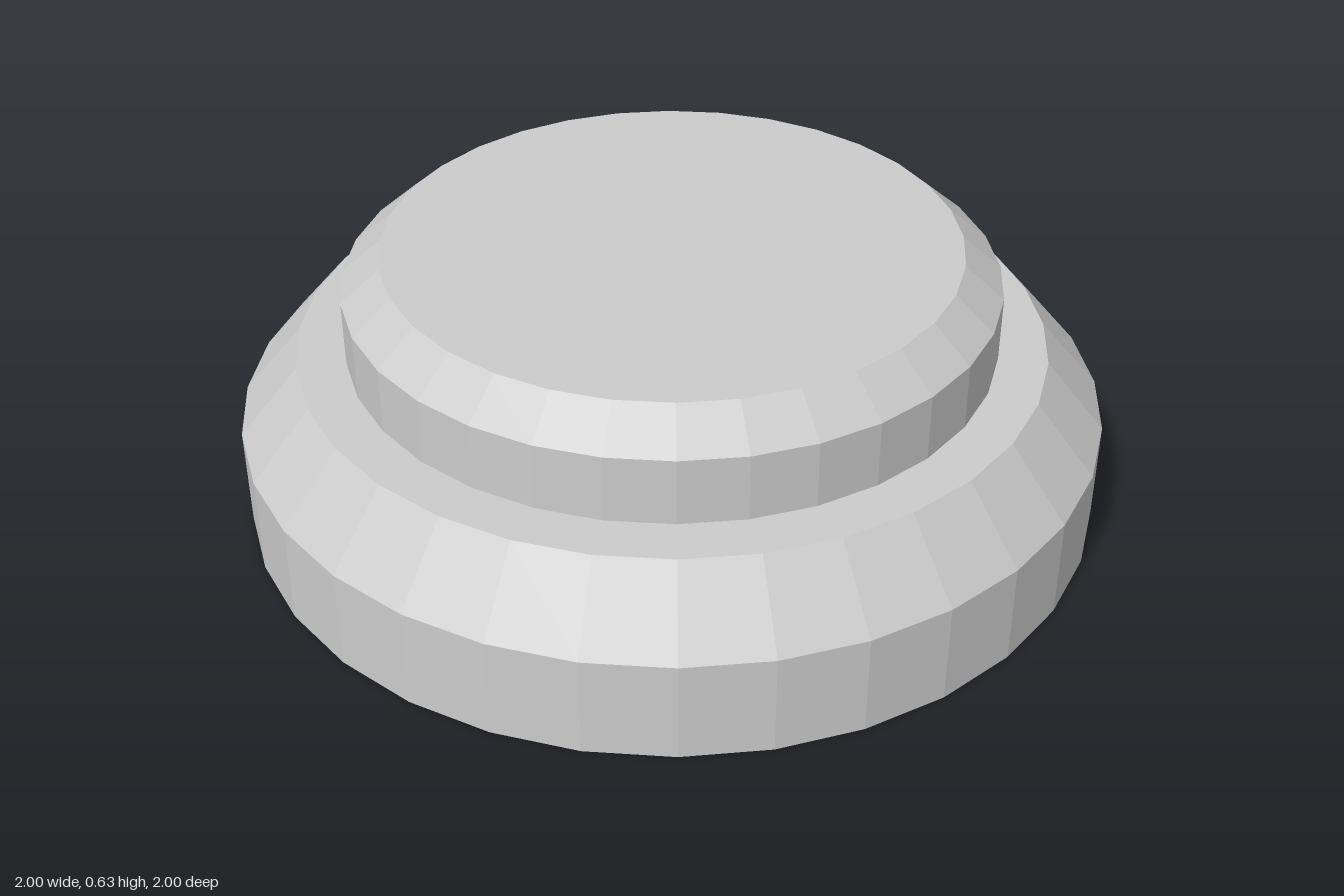
import * as THREE from 'three';

const SIDES = 32;

// Faceted ring-shaped tier turned from a [radius, height] profile, listed bottom to top
function makeTier(name, profile, material) {
  const points = profile.map(([r, y]) => new THREE.Vector2(r, y));
  const mesh = new THREE.Mesh(new THREE.LatheGeometry(points, SIDES), material);
  mesh.name = name;
  return mesh;
}

export function createModel() {
  const group = new THREE.Group();
  group.name = 'steppedRoundBase';
  const material = new THREE.MeshStandardMaterial({ color: 0xcccccc, flatShading: true });

  // Wide lower disc: flat underside, straight wall, bevel and ledge
  group.add(makeTier('lowerTier', [[0, 0], [1, 0], [1, 0.235], [0.863, 0.395], [0.75, 0.395]], material));

  // Narrower upper disc: straight wall, bevel and flat top
  group.add(makeTier('upperTier', [[0.75, 0.395], [0.75, 0.55], [0.66, 0.628], [0, 0.628]], material));

  return group;
}
